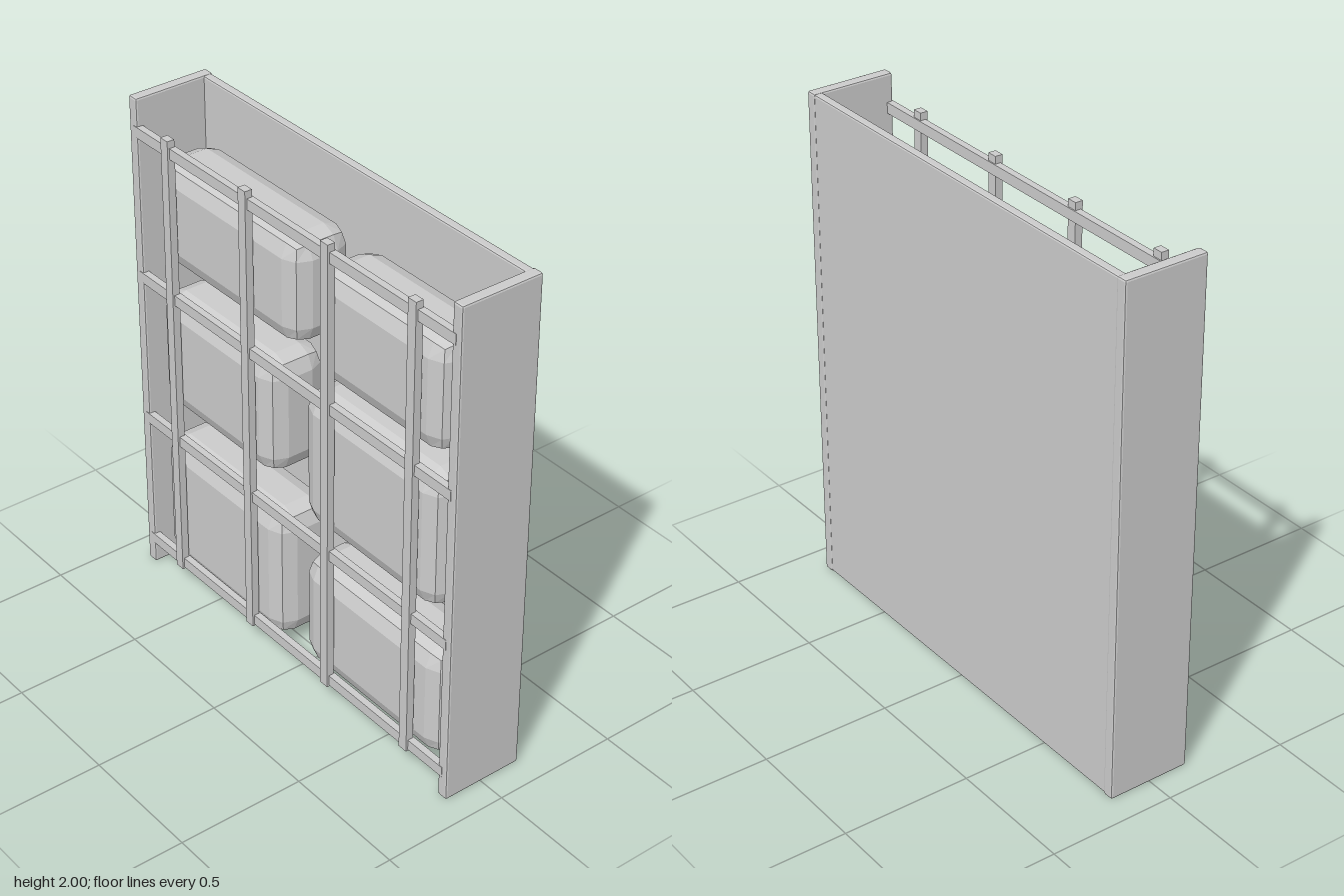
import * as THREE from 'three';
import { RoundedBoxGeometry } from 'three/addons/geometries/RoundedBoxGeometry.js';

export function createModel() {
  const group = new THREE.Group();
  const mat = new THREE.MeshStandardMaterial({ color: 0xcccccc, flatShading: true });

  // Box given by its bounds; a radius rounds the edges in two facets
  function block(name, [x0, x1], [y0, y1], [z0, z1], radius = 0) {
    const size = [x1 - x0, y1 - y0, z1 - z0];
    const geo = radius
      ? new RoundedBoxGeometry(...size, 1, radius)
      : new THREE.BoxGeometry(...size);
    const mesh = new THREE.Mesh(geo, mat);
    mesh.name = name;
    mesh.position.set((x0 + x1) / 2, (y0 + y1) / 2, (z0 + z1) / 2);
    group.add(mesh);
  }

  // Shallow tray: back and two sides, open at top and bottom
  block('backPanel', [-0.86, 0.86], [0.003, 1.997], [-0.167, -0.132], 0.007);
  block('leftSidePanel', [0.845, 0.89], [0, 2], [-0.17, 0.16], 0.008);
  block('rightSidePanel', [-0.89, -0.845], [0, 2], [-0.17, 0.16], 0.008);

  // Padded bundles: x range, y range
  const bundles = [
    [[-0.8, 0.015], [1.375, 1.79]],
    [[0.11, 0.775], [1.34, 1.78]],
    [[-0.805, -0.125], [0.765, 1.245]],
    [[0.035, 0.765], [0.705, 1.255]],
    [[-0.81, -0.08], [0.06, 0.615]],
    [[0.035, 0.805], [0.085, 0.545]],
  ];
  bundles.forEach(([x, y], i) => block(`bundle${i + 1}`, x, y, [-0.125, 0.13], 0.075));

  // Retaining grid across the front
  [0.112, 0.67, 1.28, 1.87].forEach((y, i) =>
    block(`horizontalStrap${i + 1}`, [-0.865, 0.865], [y - 0.021, y + 0.021], [0.135, 0.162]));
  [-0.668, -0.224, 0.22, 0.664].forEach((x, i) =>
    block(`verticalStrap${i + 1}`, [x - 0.02, x + 0.02], [0.085, 1.92], [0.14, 0.17]));

  return group;
}
